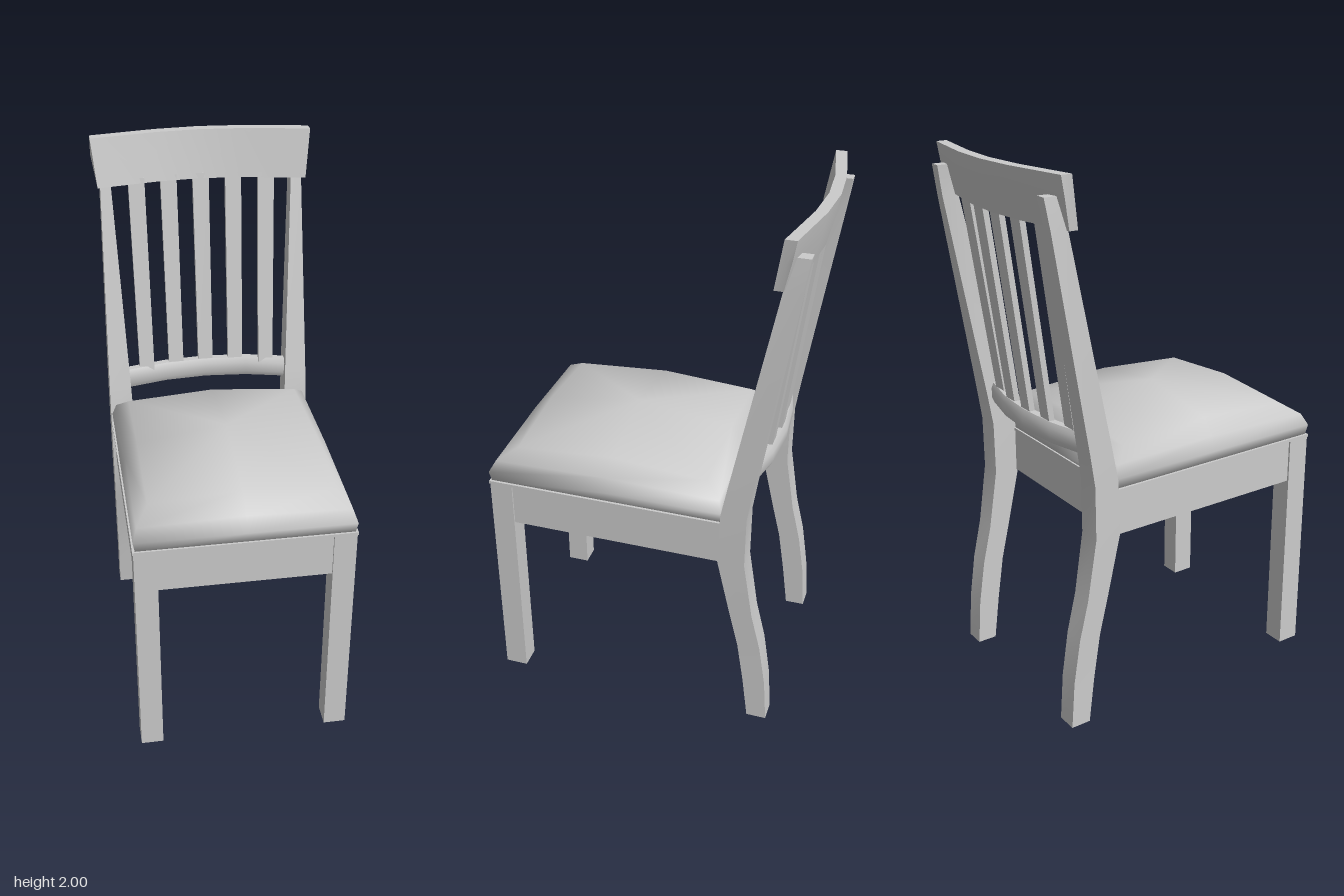
import * as THREE from 'three';
import { toCreasedNormals } from 'three/addons/utils/BufferGeometryUtils.js';

const material = new THREE.MeshStandardMaterial({ color: 0xcccccc });

// Skin a series of closed cross-sections; the ends are closed with fans.
function loft(sections, crease = 0.6, apex = null) {
  const n = sections[0].length;
  const pos = [];
  const tri = (a, b, c) => pos.push(...a, ...b, ...c);
  const middle = (s) => [0, 1, 2].map((k) => s.reduce((sum, p) => sum + p[k], 0) / n);
  const first = sections[0];
  const last = sections[sections.length - 1];
  const start = middle(first);
  const end = apex || middle(last);
  for (let j = 0; j < n; j++) {
    const k = (j + 1) % n;
    for (let i = 0; i < sections.length - 1; i++) {
      const s = sections[i], t = sections[i + 1];
      tri(s[j], s[k], t[k]);
      tri(s[j], t[k], t[j]);
    }
    tri(start, first[k], first[j]);
    tri(end, last[j], last[k]);
  }
  const geometry = new THREE.BufferGeometry();
  geometry.setAttribute('position', new THREE.Float32BufferAttribute(pos, 3));
  return toCreasedNormals(geometry, crease);
}

// Horizontal rectangle, counterclockwise from above.
const rect = (x0, x1, y, zf, zb) => [[x1, y, zf], [x1, y, zb], [x0, y, zb], [x0, y, zf]];

export function createModel() {
  const group = new THREE.Group();
  const add = (name, geometry) => {
    const mesh = new THREE.Mesh(geometry, material);
    mesh.name = name;
    group.add(mesh);
    return mesh;
  };
  const box = (name, x0, x1, y0, y1, z0, z1) =>
    add(name, new THREE.BoxGeometry(x1 - x0, y1 - y0, z1 - z0))
      .position.set((x0 + x1) / 2, (y0 + y1) / 2, (z0 + z1) / 2);

  // Seat frame and the thin lip under the cushion
  box('seatFrame', -0.385, 0.385, 0.72, 0.89, -0.308, 0.567);
  box('seatLip', -0.395, 0.395, 0.886, 0.897, -0.312, 0.578);

  // Padded cushion: rings of corners and edge midpoints rising to a peak
  // [half width, z front, z back, corner y, midpoint y]
  const cushionRings = [
    [0.385, 0.57, -0.305, 0.895, 0.895],
    [0.392, 0.577, -0.309, 0.935, 0.935],
    [0.376, 0.552, -0.297, 0.98, 0.99],
    [0.33, 0.48, -0.24, 1.025, 1.05],
  ].map(([w, f, b, c, m]) => [
    [w, c, f], [w, m, 0.12], [w, c, b], [0, m, b],
    [-w, c, b], [-w, m, 0.12], [-w, c, f], [0, m, f],
  ]);
  add('cushion', loft(cushionRings, 1.7, [0, 1.1, 0.12]));

  // Curved back leg and post: [y, z front, z back, x inner, x outer]
  const post = [
    [0, -0.432, -0.507, 0.312, 0.39],
    [0.18, -0.41, -0.495, 0.311, 0.39],
    [0.35, -0.385, -0.47, 0.31, 0.392],
    [0.5, -0.35, -0.435, 0.31, 0.394],
    [0.73, -0.3, -0.4, 0.308, 0.397],
    [0.93, -0.307, -0.402, 0.308, 0.397],
    [1.05, -0.33, -0.42, 0.312, 0.396],
    [1.82, -0.484, -0.547, 0.344, 0.384],
    [1.93, -0.51, -0.565, 0.335, 0.376],
  ];
  for (const side of [1, -1]) {
    const name = side > 0 ? 'left' : 'right';
    const inner = side * 0.31, outer = side * 0.392;
    box(name + 'FrontLeg', Math.min(inner, outer), Math.max(inner, outer), 0.005, 0.89, 0.49, 0.575);
    add(name + 'BackPost', loft(post.map(([y, f, b, i, o]) =>
      rect(Math.min(side * i, side * o), Math.max(side * i, side * o), y, f, b)), 0.3));
  }

  // Bowed top rail, leaning back and flaring at the ends
  const topRail = [-1, -0.4, 0, 0.4, 1].map((u) => {
    const bow = 0.055 * Math.pow(Math.abs(u), 1.7);
    const top = 0.413 * u, low = 0.395 * u;
    return [
      [top, 2, -0.54 + bow], [low, 1.82, -0.51 + bow],
      [low, 1.82, -0.542 + bow], [top, 1.93, -0.568 + bow], [top, 2, -0.58 + bow],
    ];
  });
  add('topRail', loft(topRail, 0.6));

  // Bowed lower rail with a rounded section
  const lowerRail = [-1, -0.5, 0, 0.5, 1].map((u) => {
    const x = 0.325 * u;
    const z = -0.426 + 0.052 * u * u;
    return [
      [x, 1.098, z + 0.012], [x, 1.078, z + 0.022], [x, 1.04, z + 0.022], [x, 1.02, z + 0.012],
      [x, 1.02, z - 0.015], [x, 1.04, z - 0.024], [x, 1.078, z - 0.024], [x, 1.098, z - 0.015],
    ];
  });
  add('lowerRail', loft(lowerRail, 1));

  // Five slats fanning slightly outward and following the bow
  for (const i of [-2, -1, 0, 1, 2]) {
    const xLow = 0.12 * i, xTop = 0.124 * i;
    const zLow = -0.412 + 0.008 * i * i, zTop = -0.512 + 0.006 * i * i;
    add('slat', loft([
      rect(xLow - 0.029, xLow + 0.029, 1.08, zLow, zLow - 0.022),
      rect(xTop - 0.031, xTop + 0.031, 1.84, zTop, zTop - 0.022),
    ]));
  }
  return group;
}
